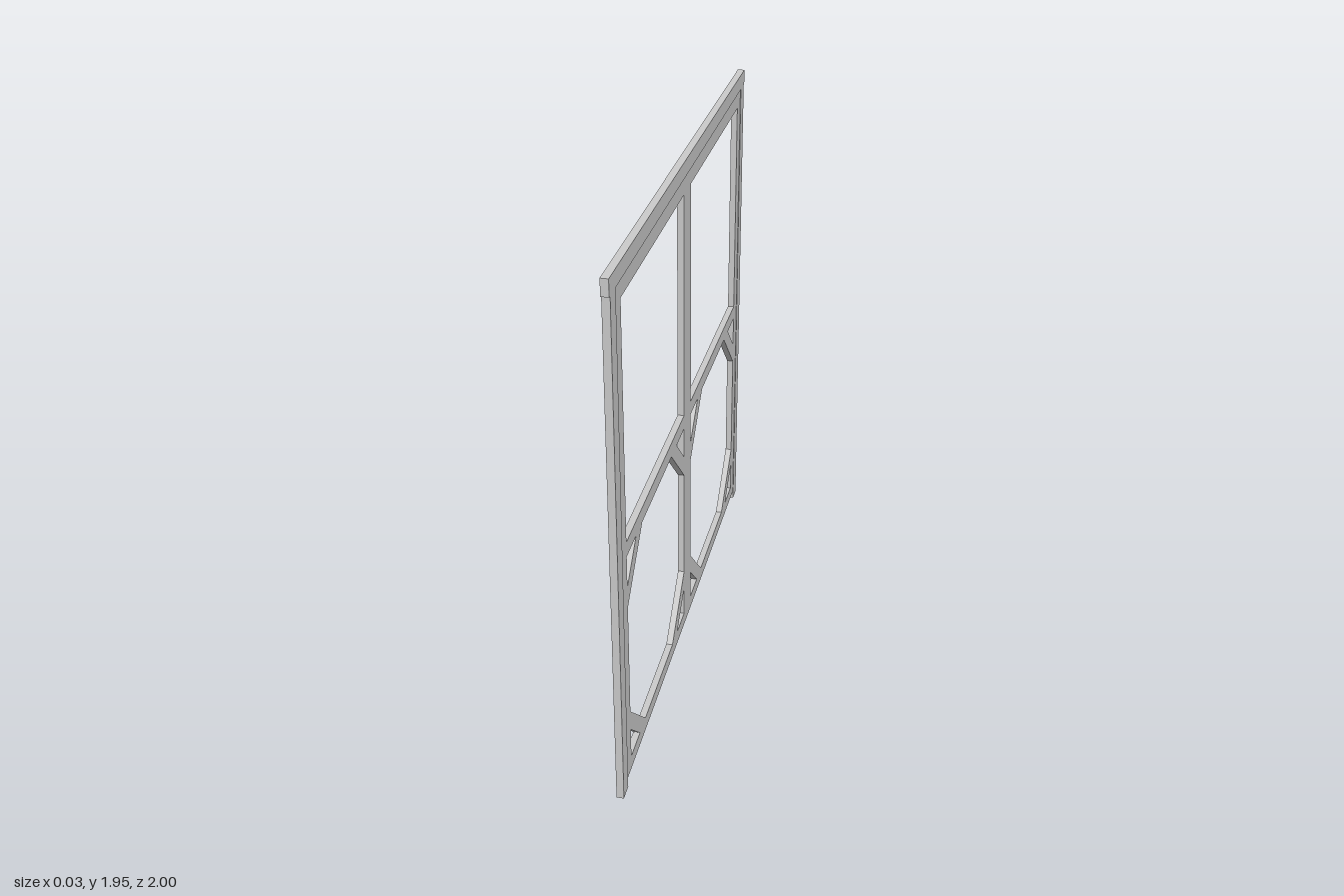
import * as THREE from 'three';

const T = 0.026;         // overall thickness, along x
const RECESS = 0.002;    // panels sit slightly behind the outer frame
const STILE = 0.055;     // width of every rail and stile
const LEG = 0.2;         // outer leg of the corner braces
const GAP = 0.12;        // leg of the small triangular openings
const FRAME_TOP = 1.888; // underside of the header
const POST_IN = 0.932;   // inner edge of the posts

const material = new THREE.MeshStandardMaterial({
  color: 0xcccccc, flatShading: true, side: THREE.DoubleSide,
});

const points = (list) => list.map(([z, y]) => new THREE.Vector2(-z, y));

const rectangle = (z0, z1, y0, y1) =>
  new THREE.Shape(points([[z1, y0], [z0, y0], [z0, y1], [z1, y1]]));

// Pressed channel from a z-y outline: face towards +x, walls around it, open back.
function addChannel(parent, name, shape, depth) {
  const solid = new THREE.ExtrudeGeometry(shape, { depth, bevelEnabled: false });
  // The first half of the caps is the back, which is left off
  const backEnd = solid.groups[0].count / 2 * 3;
  const corners = solid.attributes.position.array.slice(backEnd);
  const geometry = new THREE.BufferGeometry();
  geometry.setAttribute('position', new THREE.BufferAttribute(corners, 3));
  geometry.rotateY(Math.PI / 2).translate(-T / 2, 0, 0);
  geometry.computeVertexNormals();
  const mesh = new THREE.Mesh(geometry, material);
  mesh.name = name;
  parent.add(mesh);
}

// One framed panel: window opening above, braced octagonal opening below.
function panelShape(side) {
  const a = STILE, b = 0.875, low = 0.088, high = 0.926;
  const edges = [0, POST_IN * side].sort((p, q) => p - q);
  const shape = rectangle(...edges, 0.035, FRAME_TOP);
  const cut = (list) =>
    shape.holes.push(new THREE.Path(points(list.map(([z, y]) => [z * side, y]))));

  cut([[a, 0.981], [b, 0.981], [b, 1.83], [a, 1.83]]);
  cut([
    [a + LEG, low], [b - LEG, low], [b, low + LEG], [b, high - LEG],
    [b - LEG, high], [a + LEG, high], [a, high - LEG], [a, low + LEG],
  ]);
  // Triangular openings behind the braces
  for (const [z, dz] of [[a, 1], [b, -1]]) {
    for (const [y, dy] of [[low, 1], [high, -1]]) {
      cut([[z, y], [z + dz * GAP, y], [z, y + dy * GAP]]);
    }
  }
  return shape;
}

export function createModel() {
  const model = new THREE.Group();
  model.name = 'screenFrame';

  // Header across the top
  addChannel(model, 'header', rectangle(-1, 1, FRAME_TOP, 1.945), T);

  for (const side of [1, -1]) {
    const label = side > 0 ? 'front' : 'back';

    // Outer post
    const ends = [POST_IN * side, 0.99 * side].sort((p, q) => p - q);
    addChannel(model, label + 'Post', rectangle(...ends, 0, FRAME_TOP), T);

    // Braced panel, meeting its twin on the centre line
    addChannel(model, label + 'Panel', panelShape(side), T - RECESS);
  }
  return model;
}
